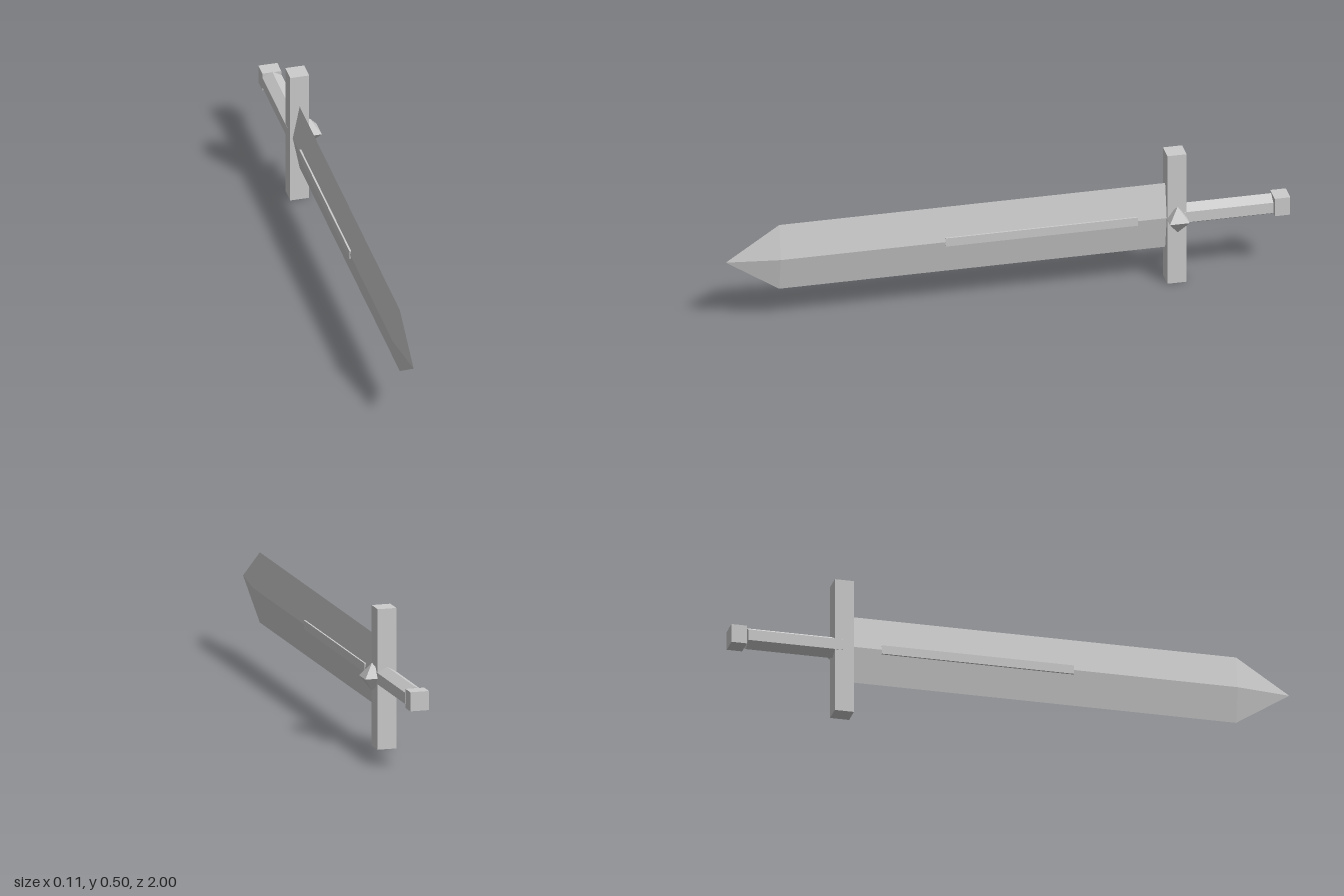
import * as THREE from 'three';

const CX = -0.023; // sword's centre plane
const CY = 0.253; // sword's long axis

export function createModel() {
  const group = new THREE.Group();
  const steel = new THREE.MeshStandardMaterial({ color: 0xcccccc });
  steel.name = 'greySteel';

  const add = (name, geometry, x, y, z) => {
    const flat = geometry.index ? geometry.toNonIndexed() : geometry;
    flat.computeVertexNormals();
    const mesh = new THREE.Mesh(flat, steel);
    mesh.name = name;
    mesh.position.set(x, y, z);
    group.add(mesh);
    return mesh;
  };

  // Blade: thin diamond section from the guard to the shoulder, then a point
  const ring = (z) => [[0.025, 0, z], [0, 0.125, z], [-0.025, 0, z], [0, -0.125, z]];
  const back = ring(-0.58);
  const shoulder = ring(0.81);
  const tip = [0, 0, 1];
  const points = [];
  for (let i = 0; i < 4; i++) {
    const j = (i + 1) % 4;
    points.push(back[i], back[j], shoulder[j], back[i], shoulder[j], shoulder[i]);
    points.push(shoulder[i], shoulder[j], tip);
  }
  points.push(back[0], back[2], back[1], back[0], back[3], back[2]);
  const bladeGeometry = new THREE.BufferGeometry();
  bladeGeometry.setAttribute('position', new THREE.Float32BufferAttribute(points.flat(), 3));
  add('blade', bladeGeometry, CX, CY, 0);

  // Raised rib showing on both faces of the blade
  add('bladeRib', new THREE.BoxGeometry(0.056, 0.032, 0.685), CX, CY, -0.118);

  // Cross guard
  add('guard', new THREE.BoxGeometry(0.068, 0.5, 0.068), CX, 0.25, -0.597);

  // Hexagonal grip with a ridge upwards
  const gripGeometry = new THREE.CylinderGeometry(0.04, 0.04, 0.34, 6);
  gripGeometry.rotateX(Math.PI / 2);
  add('grip', gripGeometry, CX, CY, -0.77);

  // Pommel block
  add('pommel', new THREE.BoxGeometry(0.068, 0.068, 0.055), CX, CY, -0.9725);

  // Eight-sided gem on the left face of the guard
  const gemGeometry = new THREE.OctahedronGeometry(0.05);
  gemGeometry.rotateY(Math.PI / 4);
  add('gem', gemGeometry, 0.021, CY, -0.597);

  return group;
}
